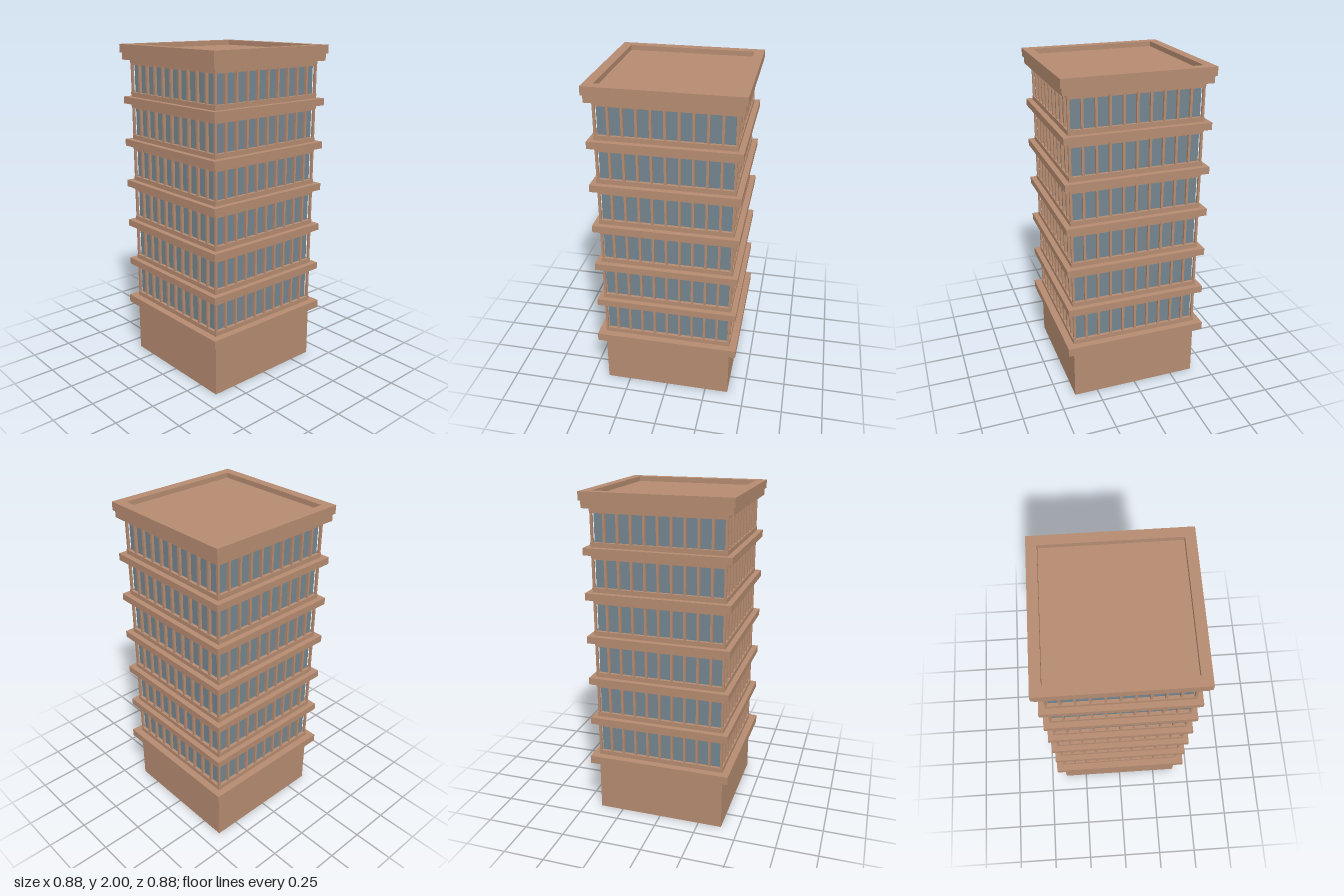
import * as THREE from 'three';

const FLOORS = 6, PANES = 10, BASE_TOP = 0.38, PITCH = 0.2617;
const WALL = 0.395, GLASS = 0.376, BAND = 0.428, CORNICE = 0.438;

export function createModel() {
  const root = new THREE.Group();
  root.name = 'officeTower';
  const stone = new THREE.MeshStandardMaterial({ color: 0xb58b70 });
  const glass = new THREE.MeshStandardMaterial({ color: 0x74868f });

  // box spanning y0..y1
  const box = (parent, name, w, y0, y1, d, x = 0, z = 0, mat = stone) => {
    const m = new THREE.Mesh(new THREE.BoxGeometry(w, y1 - y0, d), mat);
    m.position.set(x, (y0 + y1) / 2, z);
    m.name = name;
    parent.add(m);
    return m;
  };
  // square slab centred on the tower axis
  const slab = (parent, name, half, y0, y1, mat = stone) =>
    box(parent, name, half * 2, y0, y1, half * 2, 0, 0, mat);

  // ground storey and the ledge above it
  slab(root, 'base', WALL, 0, 0.33);
  slab(root, 'baseLedge', CORNICE, 0.33, BASE_TOP);

  for (let i = 0; i < FLOORS; i++) {
    const floor = new THREE.Group();
    floor.name = 'floor' + (i + 1);
    floor.position.y = BASE_TOP + i * PITCH;
    root.add(floor);

    slab(floor, 'sill', WALL, 0, 0.027);
    slab(floor, 'glazing', GLASS, 0.027, 0.2, glass);
    slab(floor, 'windowHead', 0.387, 0.19, 0.2);
    slab(floor, 'lintel', WALL, 0.2, 0.22);
    slab(floor, 'floorBand', BAND, 0.22, PITCH);

    // mullions on the four sides
    const step = (2 * 0.39) / PANES;
    for (let s = 0; s < 4; s++) {
      const side = new THREE.Group();
      side.name = 'mullions';
      side.rotation.y = (s * Math.PI) / 2;
      floor.add(side);
      for (let k = 1; k < PANES; k++) {
        box(side, 'mullion', 0.014, 0.027, 0.2, 0.02, -0.39 + k * step, 0.382);
      }
      // corner post
      box(side, 'cornerPost', 0.014, 0.027, 0.2, 0.014, 0.386, 0.386);
    }
  }

  // roof deck with a raised parapet
  const roofY = BASE_TOP + FLOORS * PITCH;
  slab(root, 'roofDeck', 0.381, roofY, 1.97);
  const inner = 0.38;
  const rim = new THREE.Shape();
  const square = (p, h) => p.moveTo(-h, -h).lineTo(h, -h).lineTo(h, h).lineTo(-h, h).closePath();
  square(rim, CORNICE);
  const hole = new THREE.Path();
  square(hole, inner);
  rim.holes.push(hole);
  const geo = new THREE.ExtrudeGeometry(rim, { depth: 2 - roofY, bevelEnabled: false });
  geo.rotateX(-Math.PI / 2);
  const parapet = new THREE.Mesh(geo, stone);
  parapet.name = 'parapet';
  parapet.position.y = roofY;
  root.add(parapet);

  return root;
}
